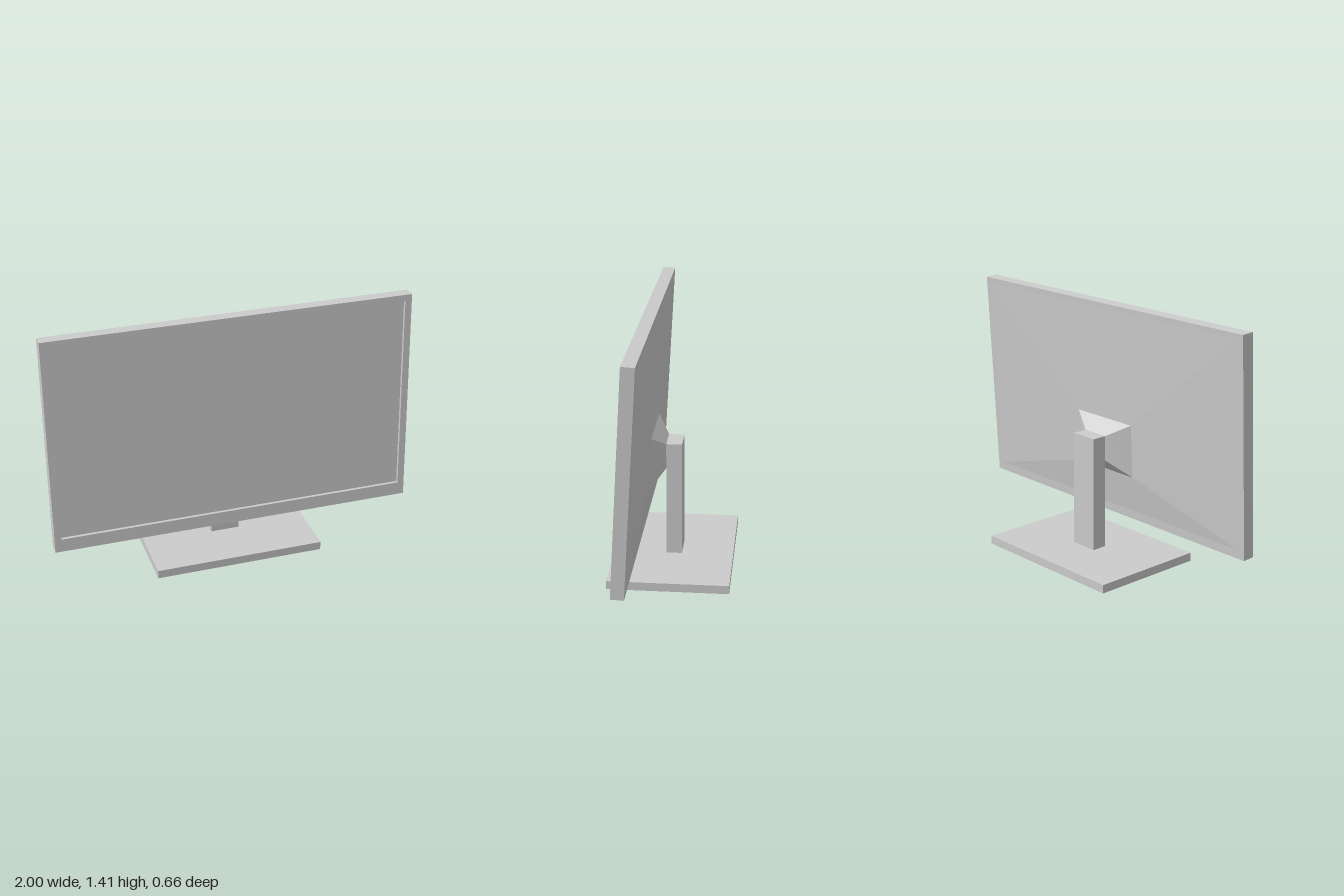
import * as THREE from 'three';

const material = new THREE.MeshStandardMaterial({ color: 0xcccccc, flatShading: true });

function add(parent, name, geometry, x = 0, y = 0, z = 0) {
  const mesh = new THREE.Mesh(geometry, material);
  mesh.name = name;
  mesh.position.set(x, y, z);
  parent.add(mesh);
  return mesh;
}

// Four corners of a rectangle, counter-clockwise seen from behind
function ring(halfWidth, bottom, top, zBottom, zTop) {
  return [
    [halfWidth, bottom, zBottom], [-halfWidth, bottom, zBottom],
    [-halfWidth, top, zTop], [halfWidth, top, zTop],
  ];
}

// Tapered solid from a front ring to a capped rear ring
function loft(a, b) {
  const points = [];
  const quad = (p, q, r, s) => points.push(...p, ...q, ...r, ...p, ...r, ...s);
  for (let i = 0; i < 4; i++) {
    const j = (i + 1) % 4;
    quad(a[i], a[j], b[j], b[i]);
  }
  quad(...b);
  const geometry = new THREE.BufferGeometry();
  geometry.setAttribute('position', new THREE.Float32BufferAttribute(points, 3));
  geometry.computeVertexNormals();
  return geometry;
}

function tracePath(path, halfWidth, bottom, top) {
  path.moveTo(-halfWidth, bottom);
  path.lineTo(halfWidth, bottom);
  path.lineTo(halfWidth, top);
  path.lineTo(-halfWidth, top);
  path.closePath();
  return path;
}

export function createModel() {
  const model = new THREE.Group();
  model.name = 'monitor';

  // Stand
  add(model, 'base', new THREE.BoxGeometry(0.936, 0.047, 0.656), 0, 0.0235, 0);
  add(model, 'column', new THREE.BoxGeometry(0.16, 0.643, 0.086), 0, 0.3685, 0);

  // Mount tapering from the display back to the column
  add(model, 'mount', loft(
    ring(0.21, 0.465, 0.765, 0.127, 0.11),
    ring(0.08, 0.55, 0.69, 0.043, 0.043),
  ));

  // Display, tilted back
  const display = new THREE.Group();
  display.name = 'display';
  display.position.set(0, 0.8095, 0.163);
  display.rotation.x = -0.056;
  model.add(display);

  // Housing, whose front face is the recessed screen
  const recess = 0.018;
  const halfDepth = 0.035;
  add(display, 'screenHousing', new THREE.BoxGeometry(2, 1.199, 2 * halfDepth - recess), 0, 0, -recess / 2);

  // Bezel around the screen, wider at the bottom
  const outline = tracePath(new THREE.Shape(), 1, -0.5995, 0.5995);
  outline.holes.push(tracePath(new THREE.Path(), 0.963, -0.526, 0.564));
  add(display, 'bezel', new THREE.ExtrudeGeometry(outline, { depth: recess, bevelEnabled: false }), 0, 0, halfDepth - recess);

  // Shallow faceted bulge on the back
  add(display, 'backCover', loft(
    ring(0.96, -0.55, 0.57, -halfDepth, -halfDepth),
    ring(0.21, -0.342, -0.041, -0.055, -0.055),
  ));

  return model;
}
